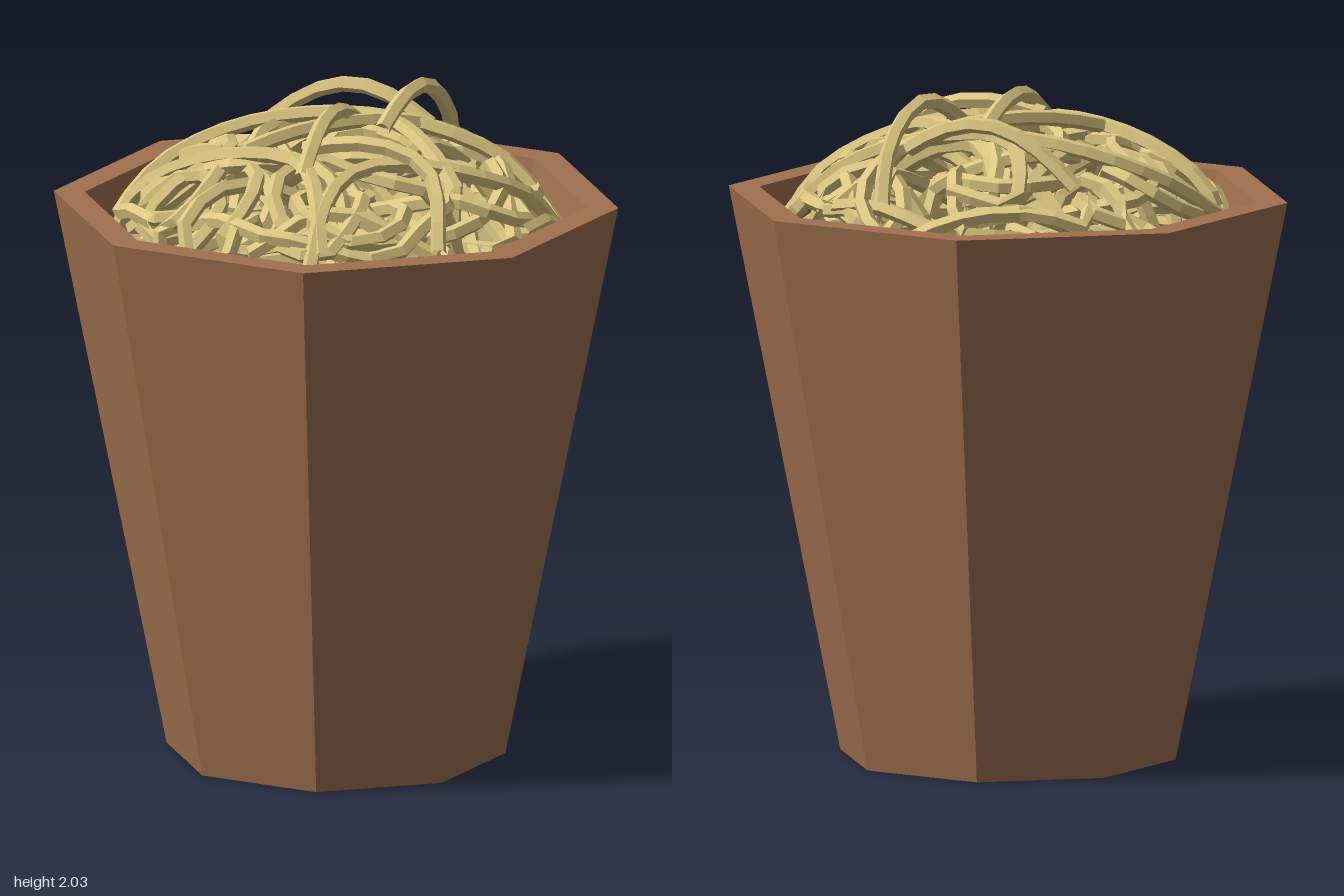
import * as THREE from 'three';

const SOIL_Y = 1.53;

// Height of the mound surface at a point, scaled by layer (0 = soil, 1 = top)
function moundHeight(x, z, layer) {
  const k = Math.max(0, 1 - (x * x + z * z) / (0.67 * 0.67));
  return SOIL_Y + 0.02 + 0.36 * Math.sqrt(k) * layer;
}

function seeded(seed) {
  return () => {
    seed = (seed * 16807) % 2147483647;
    return seed / 2147483647;
  };
}

export function createModel() {
  const group = new THREE.Group();
  const material = (color) => new THREE.MeshStandardMaterial({ color, flatShading: true });
  const add = (name, geometry, mat, parent = group) => {
    const mesh = new THREE.Mesh(geometry, mat);
    mesh.name = name;
    parent.add(mesh);
    return mesh;
  };

  // Eight-sided tapered pot with a thick rim
  const profile = [[0, 0], [0.51, 0], [0.85, 1.7], [0.757, 1.7], [0.72, 1.5]];
  add('pot', new THREE.LatheGeometry(profile.map(([r, y]) => new THREE.Vector2(r, y)), 8), material(0xa0714f));

  // Soil filling the pot
  const soil = add('soil', new THREE.CircleGeometry(0.726, 8), material(0xb5aa78));
  soil.rotation.x = -Math.PI / 2;
  soil.position.y = SOIL_Y;

  // Tangled mound of faceted strands
  const tangle = new THREE.Group();
  tangle.name = 'tangle';
  group.add(tangle);
  const strandMaterial = material(0xdcc681);
  const addStrand = (points) => {
    const curve = new THREE.CatmullRomCurve3(points, false, 'centripetal');
    const segments = Math.ceil(curve.getLength() / 0.09);
    add('strand', new THREE.TubeGeometry(curve, segments, 0.025, 5), strandMaterial, tangle);
  };

  // Large strand draped over the mound along a plan curve, bowed up by lift at its middle
  const drape = (lift, ...plan) => {
    const path = new THREE.SplineCurve(plan.map(([x, z]) => new THREE.Vector2(x, z)));
    addStrand(path.getSpacedPoints(12).map((p, i) => {
      const y = moundHeight(p.x, p.y, 1.06) + lift * Math.sin((Math.PI * i) / 12);
      return new THREE.Vector3(p.x, y, p.y);
    }));
  };
  drape(0, [-0.6, -0.12], [-0.45, -0.46], [-0.1, -0.4], [0.3, 0.03], [0.55, 0.35], [0.25, 0.58]);
  drape(0, [0.42, -0.3], [0.3, -0.47], [0.14, -0.22], [0.2, 0], [0.08, 0.48]);
  drape(0, [-0.5, -0.45], [-0.3, 0], [-0.27, 0.2], [-0.42, 0.46]);
  drape(0, [-0.52, 0.5], [-0.18, 0.3], [0.2, 0.42], [0.5, 0.43]);
  drape(0, [0.3, -0.5], [0.6, -0.25], [0.45, 0.02], [-0.3, -0.06]);
  drape(0.12, [0.1, 0.1], [0.45, -0.05], [0.56, -0.15]);
  drape(0.05, [-0.2, 0.1], [0, 0.42], [-0.1, 0.62]);
  // Two strands that rise into the highest peaks
  drape(0.06, [-0.3, 0.22], [-0.1, 0.08], [0.12, -0.06]);
  drape(0.09, [0.1, -0.5], [0.25, -0.24], [0.36, 0]);

  // Winding strands filling the mound, with both ends tucked into the soil
  const random = seeded(4177);
  for (let i = 0; i < 42; i++) {
    const points = [];
    const startAngle = i * 2.4;
    const startRadius = 0.6 * Math.sqrt(random());
    let x = Math.cos(startAngle) * startRadius;
    let z = Math.sin(startAngle) * startRadius;
    let heading = random() * Math.PI * 2;
    let turn = (random() - 0.5) * 1.2;
    const phase = random() * 6;
    for (let j = 0; j < 13; j++) {
      const end = j === 0 || j === 12;
      const layer = 0.62 + 0.36 * Math.sin(phase + j * 0.6);
      points.push(new THREE.Vector3(x, end ? SOIL_Y - 0.02 : moundHeight(x, z, layer), z));
      turn = THREE.MathUtils.clamp(turn + (random() - 0.5) * 0.9, -0.9, 0.9);
      heading += turn;
      x += Math.cos(heading) * 0.13;
      z += Math.sin(heading) * 0.13;
      // Steer back inside the rim
      const r = Math.hypot(x, z);
      if (r > 0.61) {
        x *= 0.61 / r;
        z *= 0.61 / r;
        heading = Math.atan2(-z, -x) + (turn > 0 ? -0.9 : 0.9);
      }
    }
    addStrand(points);
  }
  return group;
}
